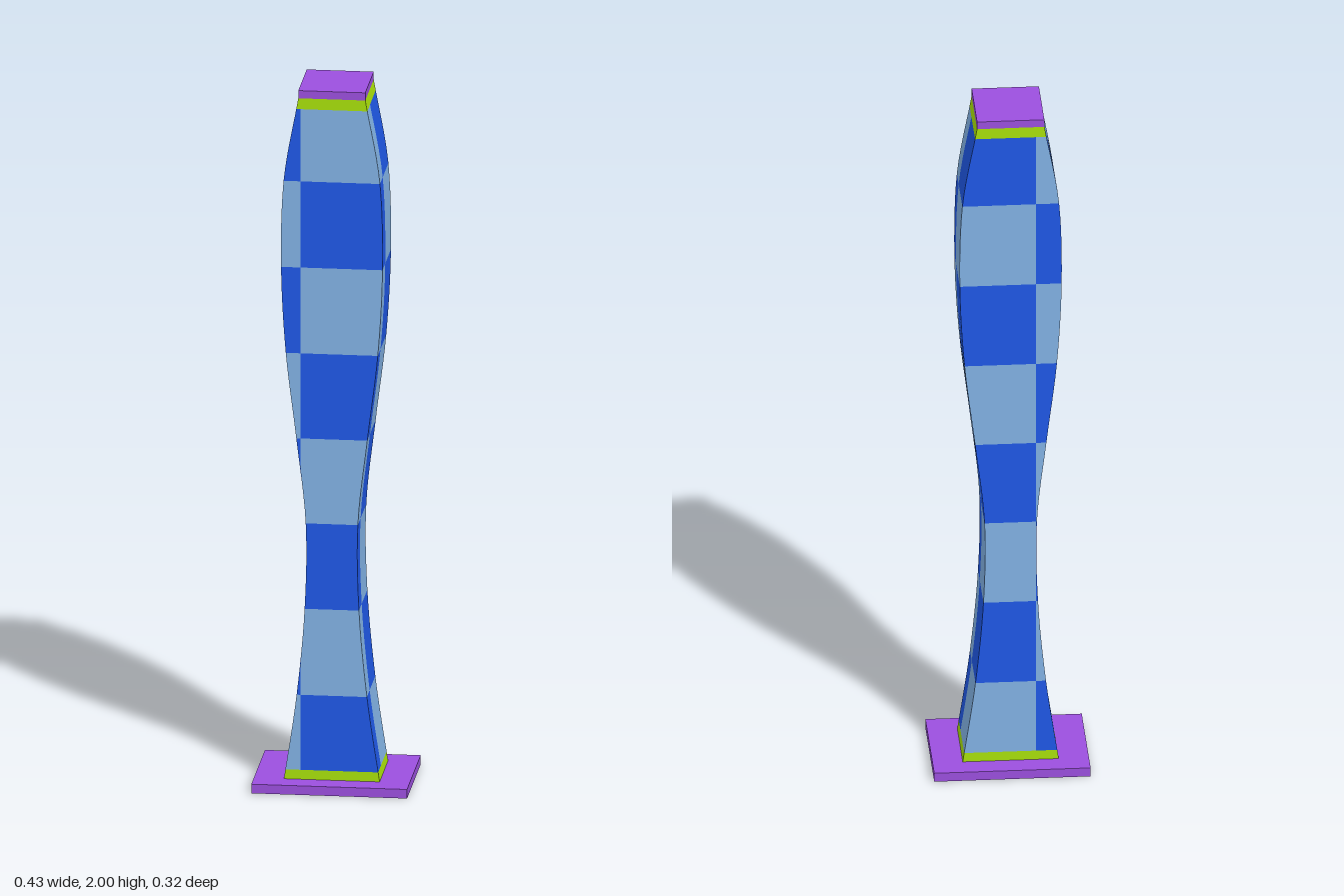
import * as THREE from 'three';

const mat = (name, color) => {
  const m = new THREE.MeshStandardMaterial({ color });
  m.name = name;
  return m;
};

// Half width and height of the shaft at each checker row boundary
const PROFILE = [
  [0.128, 0.053], [0.097, 0.268], [0.075, 0.515], [0.072, 0.76], [0.098, 1.003],
  [0.127, 1.247], [0.14, 1.493], [0.133, 1.74], [0.098, 1.947],
];
const ROWS = PROFILE.length - 1;
const STEPS = 6; // subdivisions per row
const DEPTH = 0.1; // half depth of the shaft

export function createModel() {
  const purple = mat('purple', 0x9b4fde);
  const green = mat('lime green', 0xa8e00a);
  const light = mat('light blue', 0x82b2e4);
  const dark = mat('royal blue', 0x1f58e6);
  const group = new THREE.Group();
  group.name = 'checkeredColumn';

  const add = (name, geometry, material) => {
    const mesh = new THREE.Mesh(geometry, material);
    mesh.name = name;
    group.add(mesh);
  };

  // Box between two heights, with its own half width at bottom and top
  const slab = (name, material, y0, y1, w0, w1, d) => {
    const geo = new THREE.BoxGeometry(2, y1 - y0, d * 2);
    const p = geo.attributes.position;
    for (let i = 0; i < p.count; i++) {
      p.setX(i, p.getX(i) * (p.getY(i) < 0 ? w0 : w1));
    }
    geo.translate(0, (y0 + y1) / 2, 0);
    geo.computeVertexNormals();
    add(name, geo, material);
  };

  const curve = new THREE.SplineCurve(PROFILE.map(([w, y]) => new THREE.Vector2(w, y)));

  // One shaft face: two checker columns; columnsAt gives the three points of a
  // row, ordered left to right as seen from outside
  const face = (name, columnsAt, firstColour) => {
    const pos = [], index = [];
    const geo = new THREE.BufferGeometry();
    const count = ROWS * STEPS;
    for (let i = 0; i <= count; i++) {
      const { x: w, y } = curve.getPoint(i / count);
      for (const [x, z] of columnsAt(w)) pos.push(x, y, z);
    }
    for (let row = 0; row < ROWS; row++) {
      for (let col = 0; col < 2; col++) {
        geo.addGroup(index.length, STEPS * 6, (row + col + firstColour) % 2);
        for (let s = 0; s < STEPS; s++) {
          const a = (row * STEPS + s) * 3 + col;
          index.push(a, a + 1, a + 4, a, a + 4, a + 3);
        }
      }
    }
    geo.setAttribute('position', new THREE.Float32BufferAttribute(pos, 3));
    geo.setIndex(index);
    geo.computeVertexNormals();
    add(name, geo, [light, dark]);
  };

  // Checkered shaft, the column split stays vertical while the sides curve
  face('shaftFront', w => [-w, Math.max(-w, -0.086), w].map(x => [x, DEPTH]), 0);
  face('shaftBack', w => [w, Math.max(-w, -0.07), -w].map(x => [x, -DEPTH]), 0);
  face('shaftLeft', w => [DEPTH, 0.035, -DEPTH].map(z => [w, z]), 1);
  face('shaftRight', w => [-DEPTH, -0.038, DEPTH].map(z => [-w, z]), 0);

  // Base plate, trim bands and cap
  slab('basePlate', purple, 0, 0.026, 0.215, 0.215, 0.162);
  slab('lowerTrim', green, 0.026, 0.053, 0.132, 0.128, DEPTH);
  slab('upperTrim', green, 1.947, 1.978, 0.098, 0.0925, DEPTH);
  slab('cap', purple, 1.978, 2, 0.0925, 0.0925, DEPTH);

  return group;
}
